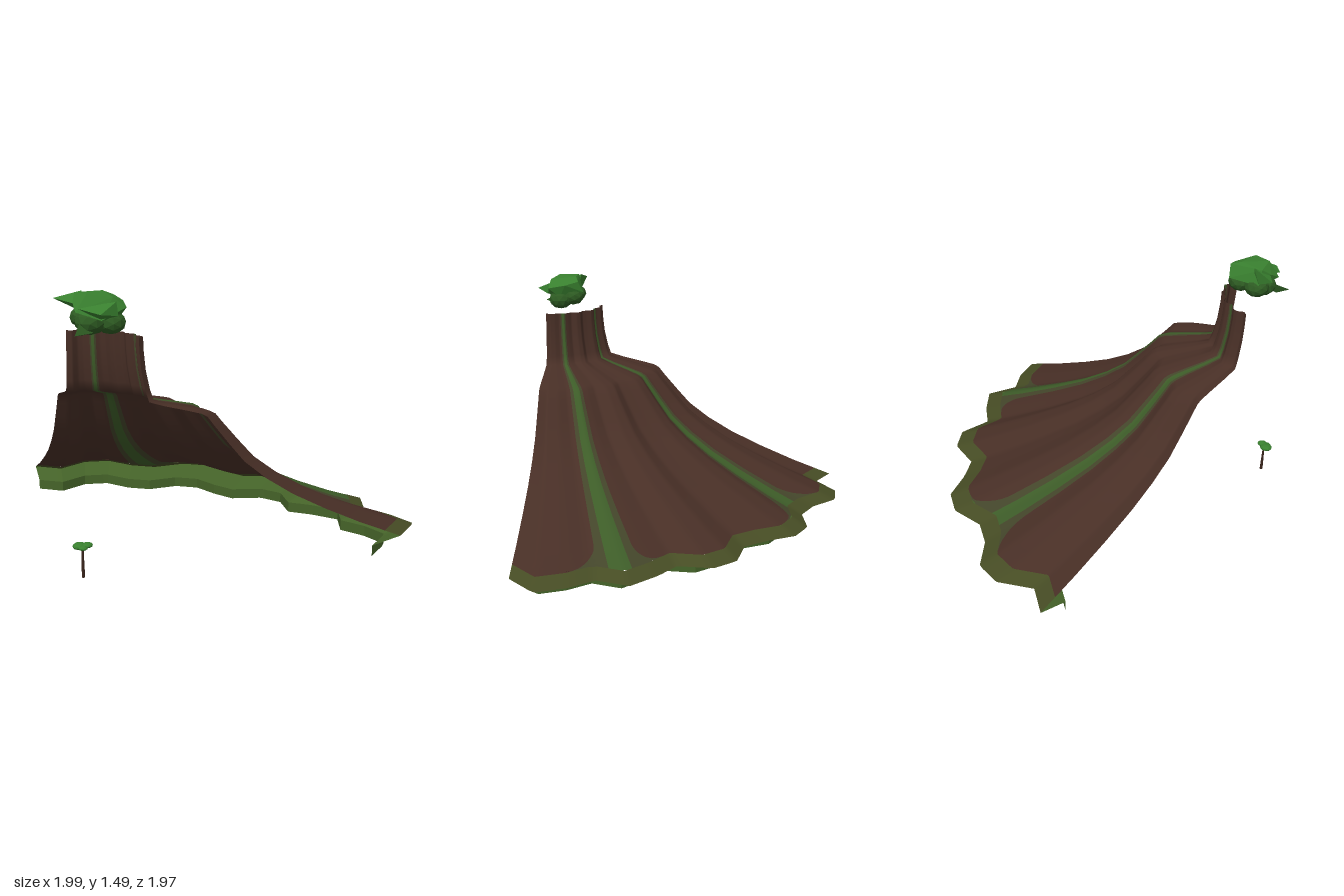
import * as THREE from 'three';
import { ConvexGeometry } from 'three/addons/geometries/ConvexGeometry.js';

const mat = (name, color, flatShading = false) => {
  const m = new THREE.MeshStandardMaterial({ color, side: THREE.DoubleSide, flatShading });
  m.name = name;
  return m;
};

// Centre of the quarter mountain and its scalloped foot outline (x, z)
const CX = -0.925, CZ = 0.9;
const OUTLINE = [
  [0.83, 0.9], [0.99, 0.74], [0.93, 0.57], [0.83, 0.43], [0.89, 0.24], [0.76, 0.1], [0.63, 0],
  [0.65, -0.2], [0.55, -0.33], [0.35, -0.375], [0.26, -0.51], [0.18, -0.68], [0.04, -0.76],
  [-0.16, -0.74], [-0.3, -0.82], [-0.43, -0.97], [-0.59, -0.99], [-0.77, -0.88], [-0.925, -0.98],
].map(([x, z]) => [x - CX, CZ - z]);

// Slope profile: share of the outline radius, height
const PROFILE = [
  [0.174, 1.27], [0.175, 1.2], [0.18, 1.1], [0.191, 1.0], [0.201, 0.945], [0.245, 0.92],
  [0.31, 0.89], [0.354, 0.868], [0.372, 0.85], [0.393, 0.8], [0.4375, 0.7], [0.484, 0.6],
  [0.552, 0.5], [0.638, 0.4], [0.745, 0.3], [0.865, 0.2], [1, 0.1],
];
const RIM = 0.945;

function heightAt(s) {
  let i = 0;
  while (i < PROFILE.length - 2 && s > PROFILE[i + 1][0]) i++;
  const [a, ya] = PROFILE[i], [b, yb] = PROFILE[i + 1];
  return ya + (yb - ya) * (s - a) / (b - a);
}

// Outline radius along a ray at an angle in degrees
function radiusAt(deg) {
  const t = THREE.MathUtils.degToRad(deg), c = Math.cos(t), n = Math.sin(t);
  for (let i = 0; i < OUTLINE.length - 1; i++) {
    const [ax, ay] = OUTLINE[i], [bx, by] = OUTLINE[i + 1];
    const da = c * ay - n * ax, db = c * by - n * bx;
    if (da <= 1e-6 && db >= -1e-6) {
      const k = da / (da - db);
      return Math.hypot(ax + (bx - ax) * k, ay + (by - ay) * k);
    }
  }
  return Math.hypot(...OUTLINE[0]);
}

function pointAt(deg, s, y) {
  const t = THREE.MathUtils.degToRad(deg), r = radiusAt(deg) * s;
  return [CX + r * Math.cos(t), y, CZ - r * Math.sin(t)];
}

// Sheet between two edge angles, each a function of s; rows are [s, y]
function sheet(name, material, rows, from, to, cols) {
  const pos = [], index = [];
  rows.forEach(([s, y], j) => {
    for (let i = 0; i <= cols; i++) {
      pos.push(...pointAt(from(s) + (to(s) - from(s)) * i / cols, s, y));
      if (j && i) {
        const d = j * (cols + 1) + i, b = d - cols - 1;
        index.push(b - 1, d - 1, b, b, d - 1, d);
      }
    }
  });
  const g = new THREE.BufferGeometry();
  g.setAttribute('position', new THREE.Float32BufferAttribute(pos, 3));
  g.setIndex(index);
  g.computeVertexNormals();
  const m = new THREE.Mesh(g, material);
  m.name = name;
  return m;
}

function blob(name, material, points) {
  const m = new THREE.Mesh(new ConvexGeometry(points.map(p => new THREE.Vector3(...p))), material);
  m.name = name;
  return m;
}

export function createModel() {
  const root = new THREE.Group();
  root.name = 'mountainQuarter';
  const earth = mat('earth brown', 0x482f26);
  const moss = mat('moss olive', 0x464c24);
  const mossEdge = mat('moss edge', 0x43452a);
  const grass = mat('grass band', 0x3d5c28);
  const base = mat('base green', 0x456329, true);
  const leaf = mat('leaf green', 0x39802f, true);
  const leafDark = mat('dark leaf', 0x2d5a22, true);
  const bark = mat('bark', 0x38241b, true);

  // Slope: brown panels parted by two grassy gullies, corners rounded near the rim
  const slope = new THREE.Group();
  slope.name = 'slope';
  const extra = [0.8, 0.885, 0.9, 0.915, 0.925, 0.935, 0.941, RIM];
  const rows = [...PROFILE.map(p => p[0]).filter(s => s < RIM), ...extra]
    .sort((a, b) => a - b).map(s => [s, heightAt(s)]);
  const half = s => {
    const q = THREE.MathUtils.clamp((s - 0.86) / (RIM - 0.86), 0, 1);
    return 2.6 + 1.2 * s + 5 * (1 - Math.sqrt(1 - q * q));
  };
  const core = s => 1.3 + 0.7 * s;
  const low = 19.5, high = 66;
  const panels = [[() => 0, s => low - half(s), 20], [s => low + half(s), s => high - half(s), 44],
    [s => high + half(s), () => 90, 24]];
  panels.forEach(([a, b, n]) => slope.add(sheet('earthPanel', earth, rows, a, b, n)));
  for (const c of [low, high]) {
    slope.add(sheet('gullyEdge', mossEdge, rows, s => c - half(s), s => c - core(s), 4));
    slope.add(sheet('gullyGrass', grass, rows, s => c - core(s), s => c + core(s), 4));
    slope.add(sheet('gullyEdge', mossEdge, rows, s => c + core(s), s => c + half(s), 4));
  }
  slope.add(sheet('mossRim', moss, [[RIM, heightAt(RIM)], [1, 0.1]], () => 0, () => 90, 90));
  root.add(slope);

  // Undercut below the rim and the low base wall
  root.add(sheet('rimUnderside', base, [[1, 0.1], [0.904, 0.06]], () => 0, () => 90, 90));
  root.add(sheet('baseWall', base, [[0.904, 0.06], [0.904, 0]], () => 0, () => 90, 90));

  // Large ragged canopy over the summit
  const canopy = new THREE.Group();
  canopy.name = 'summitCanopy';
  canopy.add(blob('canopyTop', leaf, [
    [-0.9, 1.48, 0.72], [-0.76, 1.485, 0.72], [-0.7, 1.46, 0.7], [-0.67, 1.44, 0.78],
    [-0.675, 1.42, 0.89], [-0.74, 1.47, 0.88], [-0.86, 1.485, 0.84], [-0.92, 1.44, 0.78],
    [-0.92, 1.4, 0.86], [-0.72, 1.39, 0.67], [-0.9, 1.39, 0.7], [-0.8, 1.36, 0.9], [-0.7, 1.36, 0.82],
  ]));
  canopy.add(blob('canopyTip', leaf,
    [[-1, 1.45, 0.68], [-0.86, 1.485, 0.7], [-0.9, 1.4, 0.7], [-0.9, 1.43, 0.8], [-0.86, 1.39, 0.72]]));
  canopy.add(blob('canopyTip', leaf,
    [[-0.82, 1.4, 0.98], [-0.91, 1.42, 0.88], [-0.72, 1.45, 0.88], [-0.8, 1.36, 0.88], [-0.72, 1.38, 0.9]]));
  const clumps = [[-0.74, 1.34, 0.82, 0.075], [-0.84, 1.345, 0.82, 0.08], [-0.86, 1.36, 0.74, 0.07],
    [-0.75, 1.36, 0.74, 0.07]];
  clumps.forEach(([x, y, z, r], i) => {
    const m = new THREE.Mesh(new THREE.IcosahedronGeometry(r, 1), leafDark);
    m.name = 'canopyClump';
    m.position.set(x, y, z);
    m.scale.y = 0.8;
    m.rotation.y = i * 0.8;
    canopy.add(m);
  });
  canopy.add(blob('lowLeaf', leafDark,
    [[-0.94, 1.3, 0.95], [-0.9, 1.35, 0.86], [-0.84, 1.3, 0.88], [-0.86, 1.34, 0.84], [-0.9, 1.29, 0.88]]));
  root.add(canopy);

  // Small tree at the centre of the cut corner
  const tree = new THREE.Group();
  tree.name = 'smallTree';
  const trunk = new THREE.Mesh(new THREE.CylinderGeometry(0.005, 0.009, 0.16, 6), bark);
  trunk.name = 'trunk';
  trunk.position.y = 0.15;
  tree.add(trunk);
  [[-0.015, 0.238, 0, 0.036], [0.022, 0.243, 0.012, 0.028], [-0.002, 0.235, 0.025, 0.025]].forEach(([x, y, z, r]) => {
    const m = new THREE.Mesh(new THREE.IcosahedronGeometry(r, 1), leaf);
    m.name = 'treeCrown';
    m.position.set(x, y, z);
    m.scale.y = 0.5;
    tree.add(m);
  });
  tree.position.set(-0.925, 0, 0.912);
  root.add(tree);
  return root;
}
